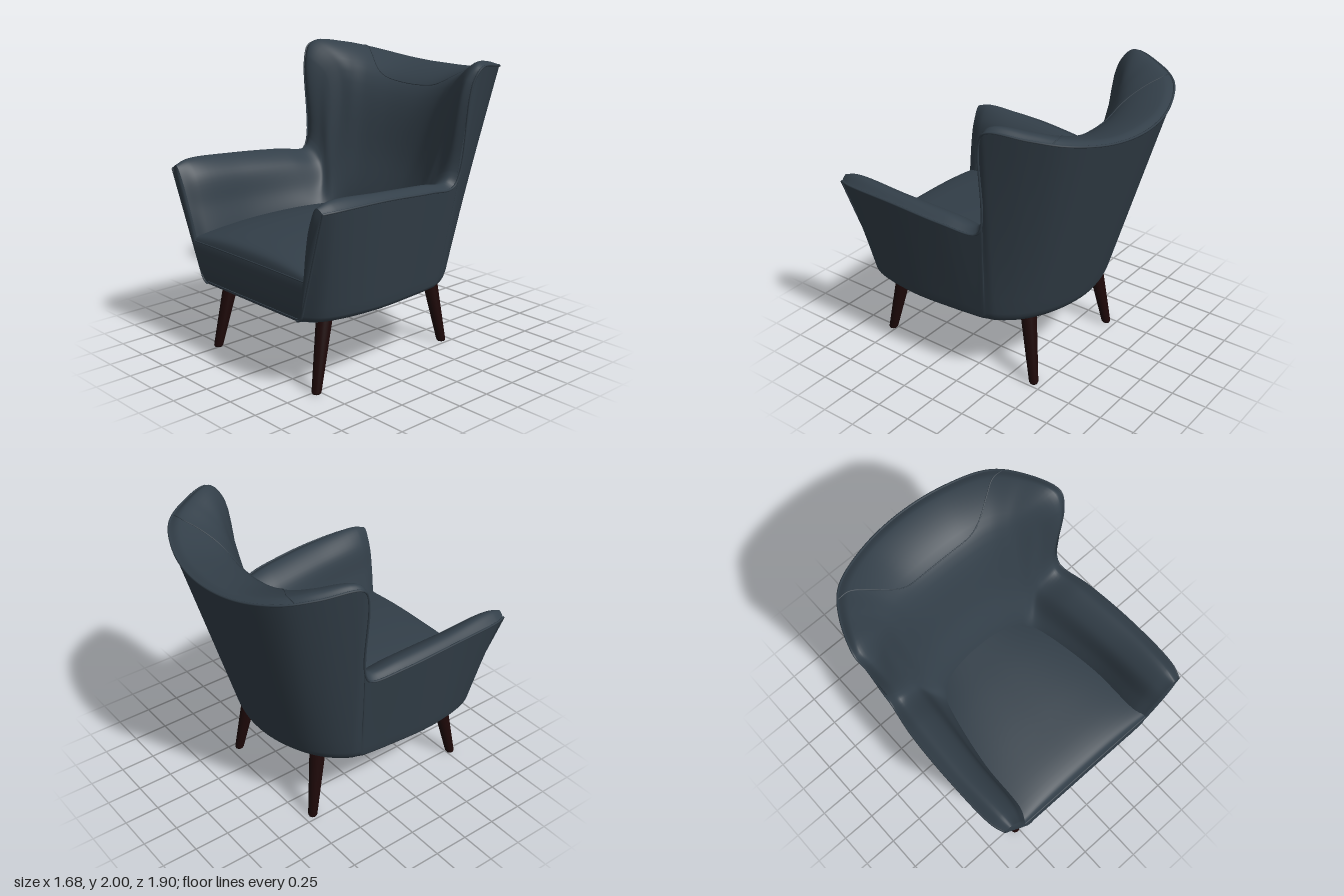
import * as THREE from 'three';

const V = (x, y, z) => new THREE.Vector3(x, y, z);
const fabric = new THREE.MeshStandardMaterial({ color: 0x333f49, side: THREE.DoubleSide });
fabric.name = 'slate blue fabric';
const wood = new THREE.MeshStandardMaterial({ color: 0x1d0808 });
wood.name = 'dark wood';

// Smooth surface over a grid of points f(u, v)
function surface(nu, nv, f) {
  const pos = [], idx = [];
  for (let i = 0; i <= nu; i++) {
    for (let j = 0; j <= nv; j++) {
      const p = f(i / nu, j / nv);
      pos.push(p.x, p.y, p.z);
      if (i < nu && j < nv) {
        const a = i * (nv + 1) + j, b = a + nv + 1;
        idx.push(a, a + 1, b, b, a + 1, b + 1);
      }
    }
  }
  const g = new THREE.BufferGeometry();
  g.setAttribute('position', new THREE.Float32BufferAttribute(pos, 3));
  g.setIndex(idx);
  g.computeVertexNormals();
  return g;
}

// Rail around the chair: given from the left arm front to the centre back, then mirrored
function rail(points) {
  const half = points.map(p => V(...p));
  const other = half.slice(0, -1).reverse().map(p => V(-p.x, p.y, p.z));
  return new THREE.CatmullRomCurve3([...half, ...other]);
}

const base = rail([[0.505, 0.5, 0.885], [0.615, 0.5, 0.79], [0.69, 0.5, 0.45], [0.672, 0.5, 0.05], [0.652, 0.5, -0.13], [0.648, 0.5, -0.16],
  [0.643, 0.5, -0.19], [0.625, 0.5, -0.24], [0.54, 0.5, -0.35], [0.42, 0.5, -0.44], [0.22, 0.5, -0.52], [0, 0.5, -0.55]]);
const rim = rail([[0.767, 1.25, 0.928], [0.797, 1.258, 0.84], [0.81, 1.255, 0.45], [0.79, 1.225, 0.05], [0.752, 1.21, -0.195], [0.757, 1.30, -0.25],
  [0.815, 1.87, -0.285], [0.83, 1.97, -0.345], [0.742, 1.955, -0.59], [0.61, 1.92, -0.77], [0.33, 1.865, -0.90], [0, 1.845, -0.945]]);
const crest = rail([[0.715, 1.28, 0.935], [0.722, 1.308, 0.84], [0.73, 1.29, 0.45], [0.71, 1.26, 0.05], [0.69, 1.24, -0.165], [0.69, 1.31, -0.215],
  [0.765, 1.88, -0.26], [0.78, 1.995, -0.35], [0.685, 1.98, -0.56], [0.56, 1.937, -0.72], [0.3, 1.88, -0.84], [0, 1.867, -0.88]]);
const shoulder = rail([[0.65, 1.17, 0.93], [0.62, 1.21, 0.83], [0.60, 1.2, 0.45], [0.575, 1.18, 0.05], [0.56, 1.16, -0.16], [0.575, 1.24, -0.215],
  [0.62, 1.76, -0.315], [0.565, 1.83, -0.39], [0.49, 1.825, -0.45], [0.39, 1.805, -0.51], [0.21, 1.765, -0.55], [0, 1.75, -0.56]]);
const waist = rail([[0.60, 1.0, 0.917], [0.565, 1.0, 0.82], [0.545, 1.0, 0.45], [0.495, 1.0, 0.05], [0.475, 1.0, -0.11], [0.48, 1.05, -0.165],
  [0.475, 1.2, -0.225], [0.43, 1.24, -0.26], [0.355, 1.25, -0.29], [0.255, 1.25, -0.318], [0.12, 1.25, -0.335], [0, 1.25, -0.34]]);
const foot = rail([[0.555, 0.8, 0.9], [0.515, 0.8, 0.82], [0.495, 0.82, 0.45], [0.425, 0.85, 0.05], [0.39, 0.85, -0.05], [0.365, 0.85, -0.085],
  [0.335, 0.85, -0.12], [0.295, 0.85, -0.145], [0.235, 0.85, -0.165], [0.16, 0.85, -0.175], [0.08, 0.85, -0.18], [0, 0.85, -0.18]]);

// Outside of the shell: rounded bottom edge, then straight up to the rim
function outer(u, v) {
  const b = base.getPoint(u), r = rim.getPoint(u);
  if (v < 0.3) {
    const a = (v / 0.3) * Math.PI / 2, s = 0.93 + 0.07 * Math.sin(a);
    const p = b.clone().lerp(r, 0.06 * (1 - Math.cos(a)));
    return V(p.x * s, p.y, p.z > 0.5 ? p.z : p.z * s);
  }
  return b.lerp(r, 0.06 + 0.94 * (v - 0.3) / 0.7);
}

// Padded inside: over the rolled rim and down behind the seat
function inner(u, v) {
  const f = foot.getPoint(u);
  const pts = [rim, crest, shoulder, waist].map(c => c.getPoint(u));
  return new THREE.CatmullRomCurve3([...pts, f, V(f.x * 0.9, 0.5, f.z - 0.02)]).getPoint(v);
}

export function createModel() {
  const chair = new THREE.Group();
  chair.name = 'wingArmchair';
  const add = (name, geometry, material = fabric) => {
    const m = new THREE.Mesh(geometry, material);
    m.name = name;
    chair.add(m);
    return m;
  };
  const piping = (name, f, n, r = 0.008) => {
    const pts = Array.from({ length: n + 1 }, (_, i) => f(i / n));
    add(name, new THREE.TubeGeometry(new THREE.CatmullRomCurve3(pts), n * 2, r, 6));
  };

  add('outerShell', surface(154, 14, outer));
  add('innerUpholstery', surface(154, 36, inner));

  // Softly bulging fronts of the arms, edged by the side panels that wrap round the corner
  const edge = [];
  for (let i = 0; i <= 14; i++) edge.push(outer(0, i / 14));
  for (let i = 1; i <= 36; i++) edge.push(inner(0, i / 36));
  edge.push(edge[0]);
  for (const side of [1, -1]) {
    const name = side > 0 ? 'left' : 'right';
    add(name + 'ArmFront', surface(edge.length - 1, 6, (u, v) => {
      const p = edge[Math.round(u * (edge.length - 1))].clone().lerp(V(0.645, 1.0, 0.917), v);
      p.z += 0.018 * Math.sqrt(1 - (1 - v) ** 2);
      p.x *= side;
      return p;
    }));
    piping(name + 'ArmPiping', t => {
      const p = outer(0, t);
      return V(p.x * side, p.y, p.z + 0.002);
    }, 24);
  }

  // Piping along the rim and the headrest seam
  piping('rimPiping', t => rim.getPoint(t), 110);
  piping('headrestSeam', t => inner(0.391 + 0.218 * t, 0.4 * (1 - (2 * t - 1) ** 6)), 48, 0.004);

  // Seat: half width, height, depth and edge drop along a front-to-back profile
  const seatRows = [[0.505, 0.5, 0.875, 0], [0.53, 0.6, 0.905, 0], [0.55, 0.7, 0.915, 0], [0.562, 0.785, 0.91, 0.003],
    [0.56, 0.845, 0.885, 0.03], [0.55, 0.88, 0.8, 0.045], [0.545, 0.915, 0.5, 0.055], [0.48, 0.94, 0.1, 0.06], [0.36, 0.945, -0.25, 0.06]];
  const profile = new THREE.CatmullRomCurve3(seatRows.map(r => V(r[0], r[1], r[2])));
  const drop = new THREE.CatmullRomCurve3(seatRows.map(r => V(r[3], 0, r[2])));
  const seat = (u, v) => {
    const p = profile.getPoint(v), x = 2 * u - 1;
    return V(p.x * x, p.y - drop.getPoint(v).x * Math.abs(x) ** 2.5, p.z);
  };
  add('seat', surface(32, 48, seat));
  piping('seatSeam', t => seat(t, 0.375), 20, 0.005);

  // Flat underside
  const outline = [];
  for (let i = 0; i <= 80; i++) {
    const p = outer(i / 80, 0);
    outline.push(new THREE.Vector2(p.x, p.z));
  }
  const under = new THREE.ExtrudeGeometry(new THREE.Shape(outline), { depth: 0.015, bevelEnabled: false });
  under.rotateX(Math.PI / 2);
  add('underside', under).position.y = 0.512;

  // Splayed, tapered legs with eased tips
  const legProfile = [[0, 0], [0.026, 0], [0.032, 0.012], [0.056, 0.53], [0, 0.53]].map(p => new THREE.Vector2(...p));
  for (const [name, bx, bz, tx, tz] of [['front', 0.52, 0.78, 0.48, 0.67], ['rear', 0.455, -0.435, 0.4, -0.35]]) {
    for (const side of [1, -1]) {
      const g = new THREE.LatheGeometry(legProfile, 20);
      const pos = g.attributes.position;
      for (let i = 0; i < pos.count; i++) {
        const t = pos.getY(i) / 0.5;
        pos.setX(i, pos.getX(i) + side * (bx + (tx - bx) * t));
        pos.setZ(i, pos.getZ(i) + bz + (tz - bz) * t);
      }
      g.computeVertexNormals();
      add(name + (side > 0 ? 'Left' : 'Right') + 'Leg', g, wood);
    }
  }
  return chair;
}
